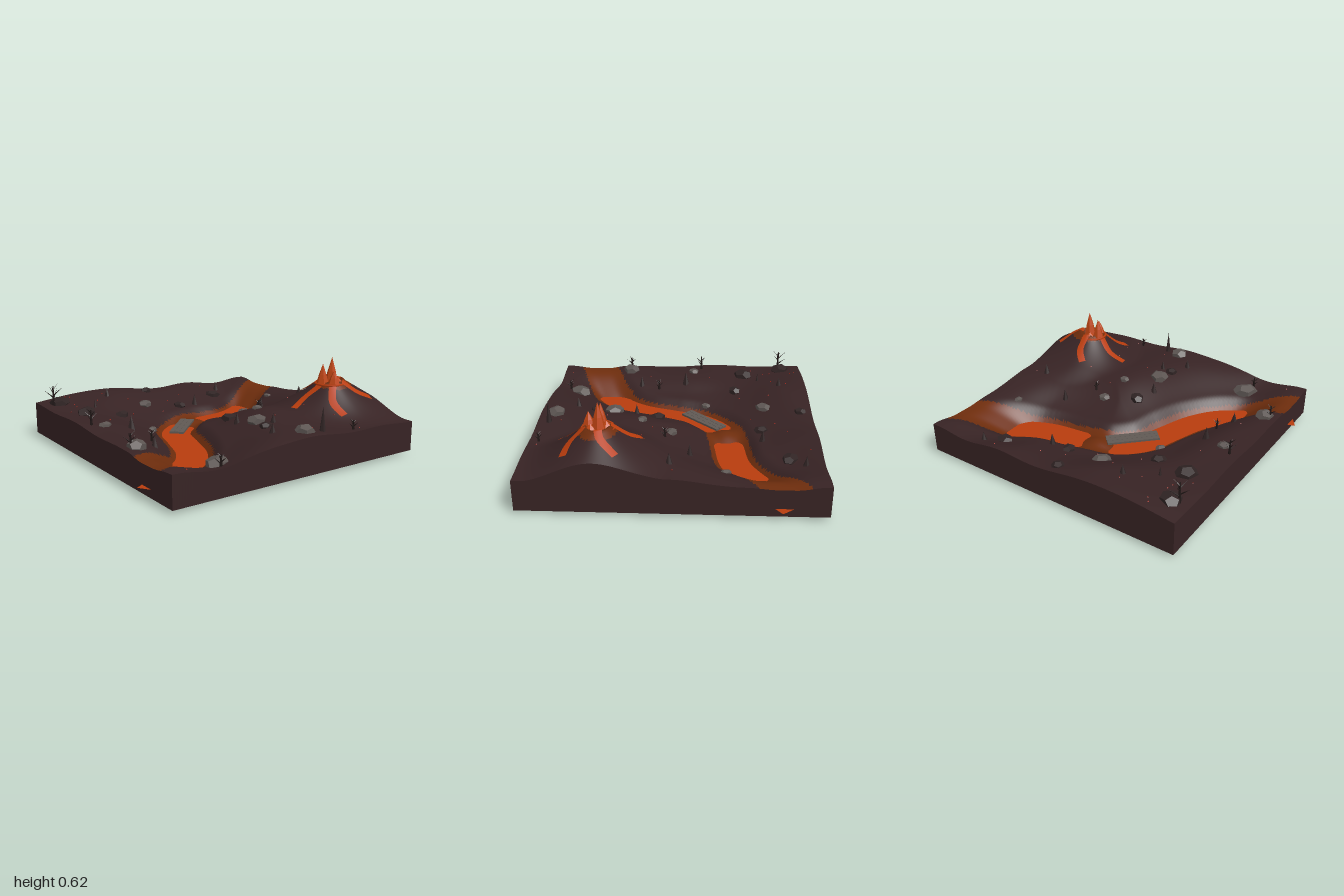
import * as THREE from 'three';
import { ParametricGeometry } from 'three/addons/geometries/ParametricGeometry.js';

const HALF = 0.95, BASE = 0.02, CELLS = 110;
const VOLCANO = { x: 0.46, z: -0.65 };

const paint = (name, color, extra = {}) => {
  const m = new THREE.MeshStandardMaterial({ color, ...extra });
  m.name = name;
  return m;
};

// Small seeded random
let seed = 7;
const rand = () => {
  seed = (seed * 16807) % 2147483647;
  return seed / 2147483647;
};

const curveOf = pts => new THREE.CatmullRomCurve3(pts.map(([x, z]) => new THREE.Vector3(x, 0, z)));

// River course: x, z
const middle = [
  [-0.5, -0.62], [-0.4, -0.42], [-0.36, -0.15], [-0.31, 0.06],
  [-0.16, 0.23], [0.06, 0.31], [0.28, 0.39], [0.44, 0.5], [0.56, 0.66],
];
const lavaPath = curveOf([[-0.742, -0.943], ...middle, [0.742, 0.943]]);
const bedPath = curveOf([[-0.72, -1.02], ...middle, [0.71, 1.02]]).getSpacedPoints(90);

const riverDistance = (x, z) => Math.min(...bedPath.map(p => Math.hypot(p.x - x, p.z - z)));
const bump = (x, z, cx, cz, s) => Math.exp(-((x - cx) ** 2 + (z - cz) ** 2) / (s * s));
const { smoothstep, lerp, clamp } = THREE.MathUtils;

// Distance from the crater, stretched toward the back
const volcanoRadius = (x, z) => {
  const dz = z - VOLCANO.z;
  return Math.hypot(x - VOLCANO.x, dz * (dz < 0 ? 0.75 : 1.3));
};

// Ground height
function height(x, z) {
  let y = 0.236 + 0.06 * bump(x, z, 0.38, -0.05, 0.34) + 0.055 * bump(x, z, -0.97, 0.45, 0.3)
    + 0.035 * bump(x, z, 0.1, -0.75, 0.25) + 0.02 * bump(x, z, 0.95, 0.15, 0.3)
    + 0.007 * Math.sin(x * 9 + z * 4) + 0.006 * Math.sin(z * 11 - x * 5 + 1);
  const r = volcanoRadius(x, z);
  y += 0.285 * clamp(1 - Math.max(r, 0.07) / 0.48, 0, 1) ** 1.55 - 0.05 * (1 - smoothstep(r, 0.04, 0.08));
  const bed = lerp(0.03, 0.2, smoothstep(Math.abs(z), 0.52, 0.9)) + 0.075 * bump(x, z, -0.34, -0.02, 0.14)
    - 0.032 * bump(x, z, 0.48, 0.52, 0.09) - 0.018 * bump(x, z, -0.46, -0.52, 0.08);
  // Steep inner bank, then a gentle valley side
  const d = riverDistance(x, z);
  return lerp(bed, y, 0.45 * smoothstep(d, 0.05, 0.2) + 0.55 * smoothstep(d, 0.1, 0.58));
}

export function createModel() {
  const model = new THREE.Group();
  const soil = paint('scorched soil', 0x372324);
  const scorched = paint('hot river bed', 0x6e2d0d, { side: THREE.DoubleSide });
  const lava = paint('lava', 0xb83c0d, { side: THREE.DoubleSide });
  const darkRock = paint('dark rock', 0x302424, { flatShading: true });
  const greyRock = paint('grey rock', 0x5c5552, { flatShading: true });
  const wood = paint('charred wood', 0x211817, { flatShading: true });
  const plankGrey = paint('weathered plank', 0x605954);
  const crystal = paint('molten spire', 0xbe4412, { flatShading: true });
  const ember = paint('ember', 0xa82414, { flatShading: true });

  const add = (name, geometry, material, parent = model) => {
    const mesh = new THREE.Mesh(geometry, material);
    mesh.name = name;
    parent.add(mesh);
    return mesh;
  };
  const group = name => {
    const g = new THREE.Group();
    g.name = name;
    model.add(g);
    return g;
  };

  // Terrain surface, its faces split into soil and hot bed
  const ground = new THREE.PlaneGeometry(2 * HALF, 2 * HALF, CELLS, CELLS).rotateX(-Math.PI / 2);
  const pos = ground.attributes.position;
  for (let i = 0; i < pos.count; i++) pos.setY(i, height(pos.getX(i), pos.getZ(i)));
  const soilFaces = [], hotFaces = [], index = ground.index.array;
  for (let i = 0; i < index.length; i += 3) {
    const f = [index[i], index[i + 1], index[i + 2]];
    const x = (pos.getX(f[0]) + pos.getX(f[1]) + pos.getX(f[2])) / 3;
    const z = (pos.getZ(f[0]) + pos.getZ(f[1]) + pos.getZ(f[2])) / 3;
    const hot = riverDistance(x, z) < 0.138 || volcanoRadius(x, z) < 0.125;
    (hot ? hotFaces : soilFaces).push(...f);
  }
  ground.setIndex([...soilFaces, ...hotFaces]);
  ground.addGroup(0, soilFaces.length, 0);
  ground.addGroup(soilFaces.length, hotFaces.length, 1);
  ground.computeVertexNormals();
  add('terrain', ground, [soil, scorched]);

  // Side walls follow the terrain edge; flat underside
  for (let k = 0; k < 4; k++) {
    const wall = new THREE.PlaneGeometry(2 * HALF, 1, CELLS, 1).translate(0, 0, HALF).rotateY(k * Math.PI / 2);
    const p = wall.attributes.position;
    for (let i = 0; i < p.count; i++) p.setY(i, p.getY(i) > 0 ? height(p.getX(i), p.getZ(i)) : BASE);
    add('baseWall', wall, soil);
  }
  add('underside', new THREE.PlaneGeometry(2 * HALF, 2 * HALF).rotateX(Math.PI / 2).translate(0, BASE, 0), soil);

  // Flat strip of a given width along a path, its height set by a rule
  const strip = (path, width, steps, rule) => new ParametricGeometry((u, v, out) => {
    const c = path.getPoint(u), d = path.getTangent(u), s = (v - 0.5) * width;
    const x = c.x + d.z * s, z = c.z - d.x * s;
    out.set(x, rule(x, z), z);
  }, steps, 2);

  // Level lava surface lying in the river bed
  add('lavaRiver', strip(lavaPath, 0.204, 70, () => 0.072), lava);

  // Lava streams running down the cone
  const streams = [
    [[0.45, -0.73], [0.43, -0.8], [0.33, -0.88]], [[0.54, -0.69], [0.62, -0.76], [0.65, -0.86]],
    [[0.54, -0.6], [0.62, -0.53], [0.74, -0.52]], [[0.46, -0.56], [0.42, -0.46], [0.44, -0.34]],
    [[0.38, -0.65], [0.27, -0.63], [0.2, -0.56]],
  ];
  const cone = group('volcanoLava');
  for (const pts of streams)
    add('lavaStream', strip(curveOf(pts), 0.05, 14, (x, z) => height(x, z) + 0.008), lava, cone);

  // Crater rim and molten spires
  const rim = add('craterRim', new THREE.TorusGeometry(0.1, 0.008, 6, 20).rotateX(Math.PI / 2), lava, cone);
  rim.position.set(VOLCANO.x, height(VOLCANO.x + 0.1, VOLCANO.z), VOLCANO.z);
  const spires = [
    [0.455, -0.67, 0.62, 0.046], [0.45, -0.59, 0.58, 0.042], [0.52, -0.63, 0.54, 0.042],
    [0.41, -0.64, 0.48, 0.038], [0.5, -0.69, 0.48, 0.038],
  ];
  for (const [x, z, top, r] of spires) {
    const profile = [[0, 0.38], [r * 0.75, 0.4], [r, 0.445], [r * 0.62, lerp(0.445, top, 0.45)], [0, top]];
    const geo = new THREE.LatheGeometry(profile.map(p => new THREE.Vector2(...p)), 6);
    add('moltenSpire', geo, crystal, cone).position.set(x, 0, z);
  }

  // Plank bridge
  const bridge = group('bridge');
  bridge.position.set(-0.187, 0.112, 0.163);
  bridge.rotation.y = -Math.PI / 4;
  for (const z of [-0.034, 0, 0.034])
    add('plank', new THREE.BoxGeometry(0.36, 0.014, 0.032), plankGrey, bridge).position.z = z;

  // Boulders: x, z, radius
  const grey = [
    [-0.33, -0.74, 0.03], [0.03, -0.23, 0.042], [0.23, -0.19, 0.035], [0.44, -0.02, 0.07], [0.84, -0.08, 0.068],
    [-0.62, 0.22, 0.055], [-0.2, 0.4, 0.034], [0.78, 0.54, 0.08], [-0.1, 0.81, 0.045], [0.41, 0.86, 0.065],
  ];
  const dark = [
    [-0.75, -0.49, 0.06], [-0.59, -0.07, 0.05], [-0.87, 0.07, 0.045], [0.14, -0.02, 0.055],
    [0.57, 0.01, 0.045], [-0.42, 0.52, 0.05], [-0.49, 0.76, 0.07], [-0.79, 0.83, 0.07],
  ];
  const rocks = group('boulders');
  for (const [list, material] of [[grey, greyRock], [dark, darkRock]])
    for (const [x, z, r] of list) {
      const rock = add('boulder', new THREE.DodecahedronGeometry(r), material, rocks);
      rock.position.set(x, height(x, z) + r * 0.08, z);
      rock.rotation.y = rand() * 6;
      rock.scale.set(0.95 + rand() * 0.25, 0.5 + rand() * 0.2, 0.85 + rand() * 0.2);
    }

  // Stone spikes: x, z, height, radius
  const spikes = [
    [0.87, -0.2, 0.16, 0.024], [-0.04, 0.65, 0.09, 0.034], [0.31, 0.68, 0.07, 0.03], [0.29, 0.03, 0.07, 0.03],
    [0.71, 0.07, 0.06, 0.03], [0.56, -0.06, 0.06, 0.028], [-0.1, -0.49, 0.08, 0.028], [0.02, -0.76, 0.07, 0.032],
    [-0.59, -0.21, 0.08, 0.03], [-0.84, -0.59, 0.06, 0.03], [-0.75, 0.47, 0.06, 0.03], [-0.6, 0.64, 0.06, 0.016],
  ];
  for (const [x, z, h, r] of spikes)
    add('stoneSpike', new THREE.ConeGeometry(r, h + 0.03, 6), darkRock, rocks)
      .position.set(x, height(x, z) + h / 2 - 0.015, z);

  // Dead trees with bare branches: x, z, height
  const trees = [
    [-0.78, 0.88, 0.15], [-0.16, 0.88, 0.11], [0.41, 0.9, 0.1], [0.07, -0.33, 0.07],
    [0.17, 0.62, 0.08], [0.86, 0.57, 0.08], [0.89, -0.45, 0.07],
  ];
  for (const [x, z, h] of trees) {
    const tree = group('deadTree');
    tree.position.set(x, height(x, z) - 0.01, z);
    add('trunk', new THREE.CylinderGeometry(0.004, 0.011, h, 5).translate(0, h / 2, 0), wood, tree);
    for (let i = 0; i < 6; i++) {
      const len = h * (0.65 - i * 0.05);
      const branch = add('branch', new THREE.ConeGeometry(0.005, len, 4).translate(0, len / 2, 0), wood, tree);
      branch.position.y = h * (0.35 + i * 0.1);
      branch.rotation.set(0, i * 2.4 + x * 5, -0.85, 'YXZ');
    }
  }

  // Glowing embers scattered on the ground
  const embers = group('embers');
  for (let i = 0; i < 40; i++) {
    const x = (rand() - 0.5) * 1.8, z = (rand() - 0.5) * 1.8;
    if (riverDistance(x, z) > 0.2 && volcanoRadius(x, z) > 0.3)
      add('ember', new THREE.OctahedronGeometry(0.005), ember, embers).position.set(x, height(x, z) + 0.003, z);
  }
  return model;
}
